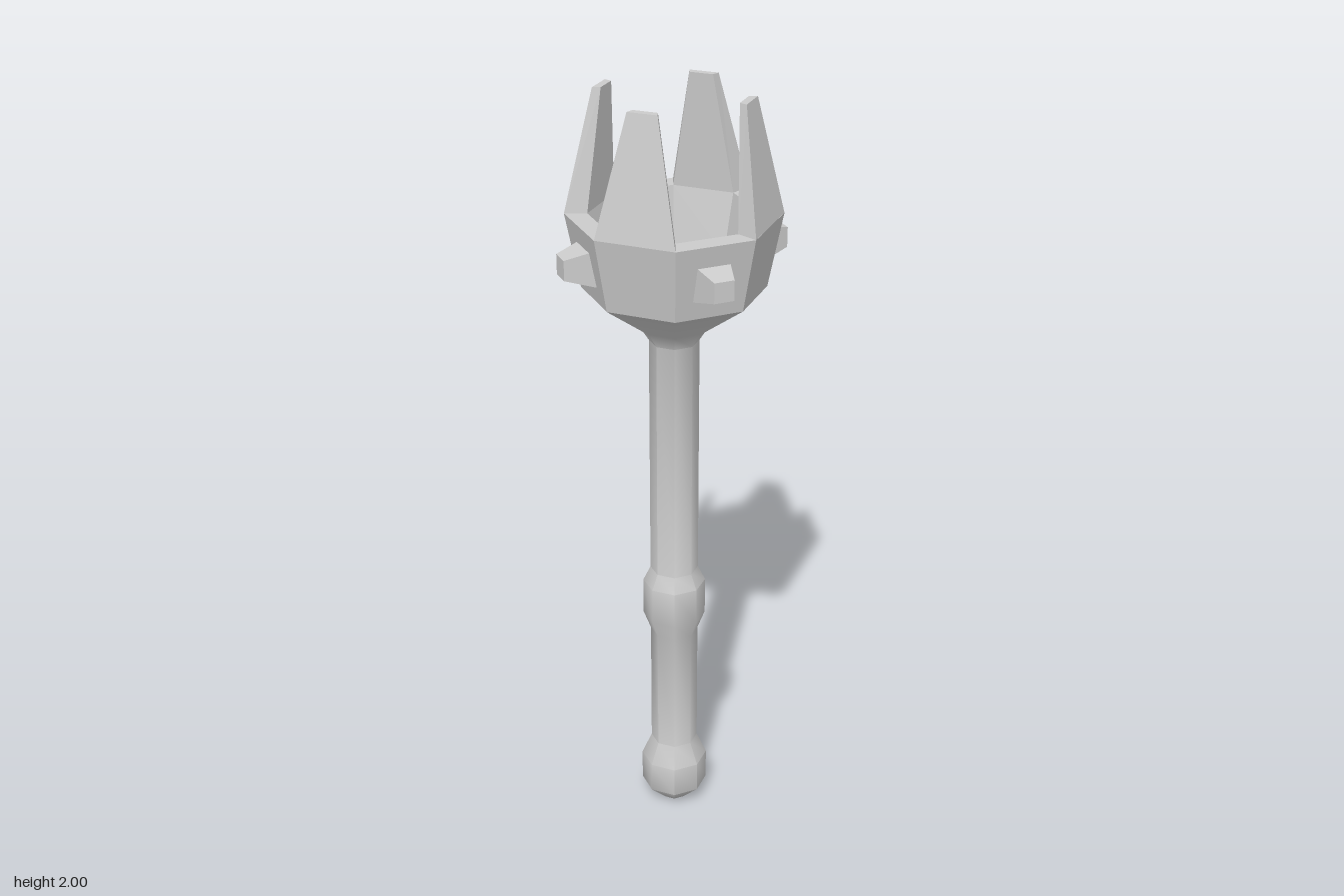
import * as THREE from 'three';
import { toCreasedNormals } from 'three/addons/utils/BufferGeometryUtils.js';

const SIDES = 8;
const smooth = new THREE.MeshStandardMaterial({ color: 0xcccccc });
const faceted = new THREE.MeshStandardMaterial({ color: 0xcccccc, flatShading: true });

function lathe(profile) {
  return new THREE.LatheGeometry(profile.map(([r, y]) => new THREE.Vector2(r, y)), SIDES);
}

// Box whose corners are placed by rule(sx, sy, sz), each argument being -1 or 1
function shapedBox(rule) {
  const geo = new THREE.BoxGeometry(2, 2, 2);
  const p = geo.attributes.position;
  for (let i = 0; i < p.count; i++) p.setXYZ(i, ...rule(p.getX(i), p.getY(i), p.getZ(i)));
  geo.computeVertexNormals();
  return geo;
}

export function createModel() {
  const model = new THREE.Group();
  model.name = 'mace';

  function add(name, geometry, material, angle = 0) {
    const mesh = new THREE.Mesh(geometry, material);
    mesh.name = name;
    mesh.rotation.y = angle;
    model.add(mesh);
  }

  // Pommel, grip ring, shaft and flaring neck in one turned profile
  const rod = lathe([
    [0, 0], [0.034, 0], [0.088, 0.055], [0.088, 0.14], [0.062, 0.2],
    [0.062, 0.55], [0.081, 0.6], [0.081, 0.7], [0.062, 0.74],
    [0.062, 1.385], [0.088, 1.425], [0.224, 1.525],
  ]);
  add('handle', toCreasedNormals(rod, 0.85), smooth);

  // Hollow octagonal head: outer wall, rim, inner wall, floor
  const cup = lathe([[0.224, 1.525], [0.26, 1.71], [0.205, 1.71], [0.175, 1.56], [0, 1.56]]);
  add('headCup', cup, faceted);

  // Tapering prong standing on one side of the rim and leaning inward
  const prong = shapedBox((sx, sy, sz) => {
    const outer = sz > 0;
    return sy > 0
      ? [sx * (outer ? 0.037 : 0.03), 2, outer ? 0.189 : 0.17]
      : [sx * (outer ? 0.0995 : 0.0785), 1.71, outer ? 0.24 : 0.189];
  });

  // Blunt square stud, narrower at its outer end
  const stud = shapedBox((sx, sy, sz) => {
    const half = sz > 0 ? 0.025 : 0.046;
    return [sx * half, 1.617 + sy * half, sz > 0 ? 0.288 : 0.212];
  });

  // Prongs and studs alternate around the eight sides
  for (let i = 0; i < 4; i++) {
    const turn = (i * Math.PI) / 2;
    add(`prong${i + 1}`, prong, faceted, turn + Math.PI / 8);
    add(`stud${i + 1}`, stud, faceted, turn - Math.PI / 8);
  }
  return model;
}
